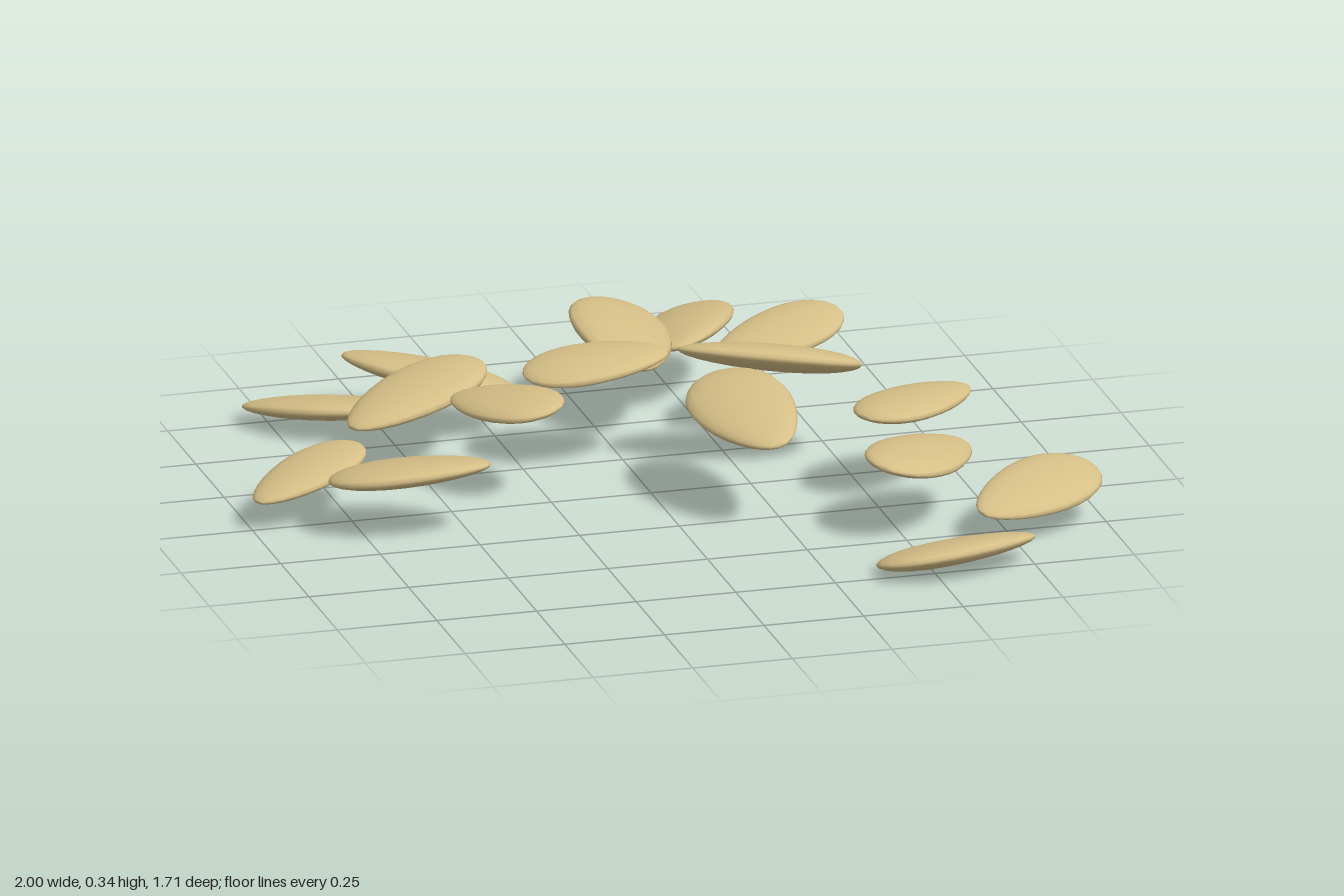
import * as THREE from 'three';
import { mergeVertices } from 'three/addons/utils/BufferGeometryUtils.js';

// Flattened egg, long axis on x, narrow end at +x, unit half length
function makeFlakeGeometry() {
  const sphere = new THREE.SphereGeometry(1, 20, 14);
  sphere.rotateZ(-Math.PI / 2);
  sphere.deleteAttribute('uv');
  sphere.deleteAttribute('normal');
  const geometry = mergeVertices(sphere, 1e-4);
  const p = geometry.attributes.position;
  for (let i = 0; i < p.count; i++) {
    const taper = 1 - 0.22 * p.getX(i);
    p.setY(i, p.getY(i) * 0.15 * (0.5 + 0.5 * taper));
    p.setZ(i, p.getZ(i) * 0.57 * taper);
  }
  geometry.computeVertexNormals();
  return geometry;
}

// [x, y, z, half length, heading of narrow end in degrees, slope along x, slope along z]
const FLAKES = [
  [-0.65, 0.06, -0.655, 0.193, 144, -0.04, 0.22],
  [-0.39, 0.14, -0.605, 0.221, 143, -0.2, 0.11],
  [-0.5, 0.19, -0.333, 0.208, 207, 0.19, -0.07],
  [-0.843, 0.11, -0.07, 0.172, 209, 0.21, -0.05],
  [-0.642, 0.16, 0.13, 0.2, -23, 0.09, 0.16],
  [-0.345, 0.24, -0.073, 0.165, 124, 0.2, 0],
  [-0.08, 0.27, -0.21, 0.178, -10, 0.15, -0.1],
  [0.078, 0.22, -0.525, 0.217, 263, -0.23, -0.09],
  [0.28, 0.17, -0.675, 0.192, 247, 0.2, 0.15],
  [0.418, 0.25, -0.35, 0.173, 194, 0.16, -0.22],
  [0.323, 0.288, -0.087, 0.224, 169, -0.18, 0.3],
  [0.183, 0.262, 0.197, 0.208, -83, 0.21, -0.16],
  [0.615, 0.232, 0.165, 0.173, 28, 0, 0],
  [0.562, 0.187, 0.418, 0.186, 43, -0.18, -0.04],
  [0.825, 0.102, 0.498, 0.19, 211, -0.04, -0.25],
  [0.558, 0.048, 0.735, 0.2, 2, 0.1, 0.26],
];

export function createModel() {
  const group = new THREE.Group();
  group.name = 'scatteredFlakes';
  const tan = new THREE.MeshStandardMaterial({ color: 0xd6bf87 });
  tan.name = 'tan';
  const geometry = makeFlakeGeometry();
  const up = new THREE.Vector3(0, 1, 0);

  // Lay each flake at its heading, then tilt it onto its slope
  FLAKES.forEach(([x, y, z, size, heading, sx, sz], i) => {
    const flake = new THREE.Mesh(geometry, tan);
    flake.name = `flake${i + 1}`;
    flake.position.set(x, y, z);
    flake.scale.setScalar(size);
    const normal = new THREE.Vector3(-sx, 1, -sz).normalize();
    const turn = new THREE.Quaternion().setFromAxisAngle(up, THREE.MathUtils.degToRad(heading));
    flake.quaternion.setFromUnitVectors(up, normal).multiply(turn);
    group.add(flake);
  });
  return group;
}
